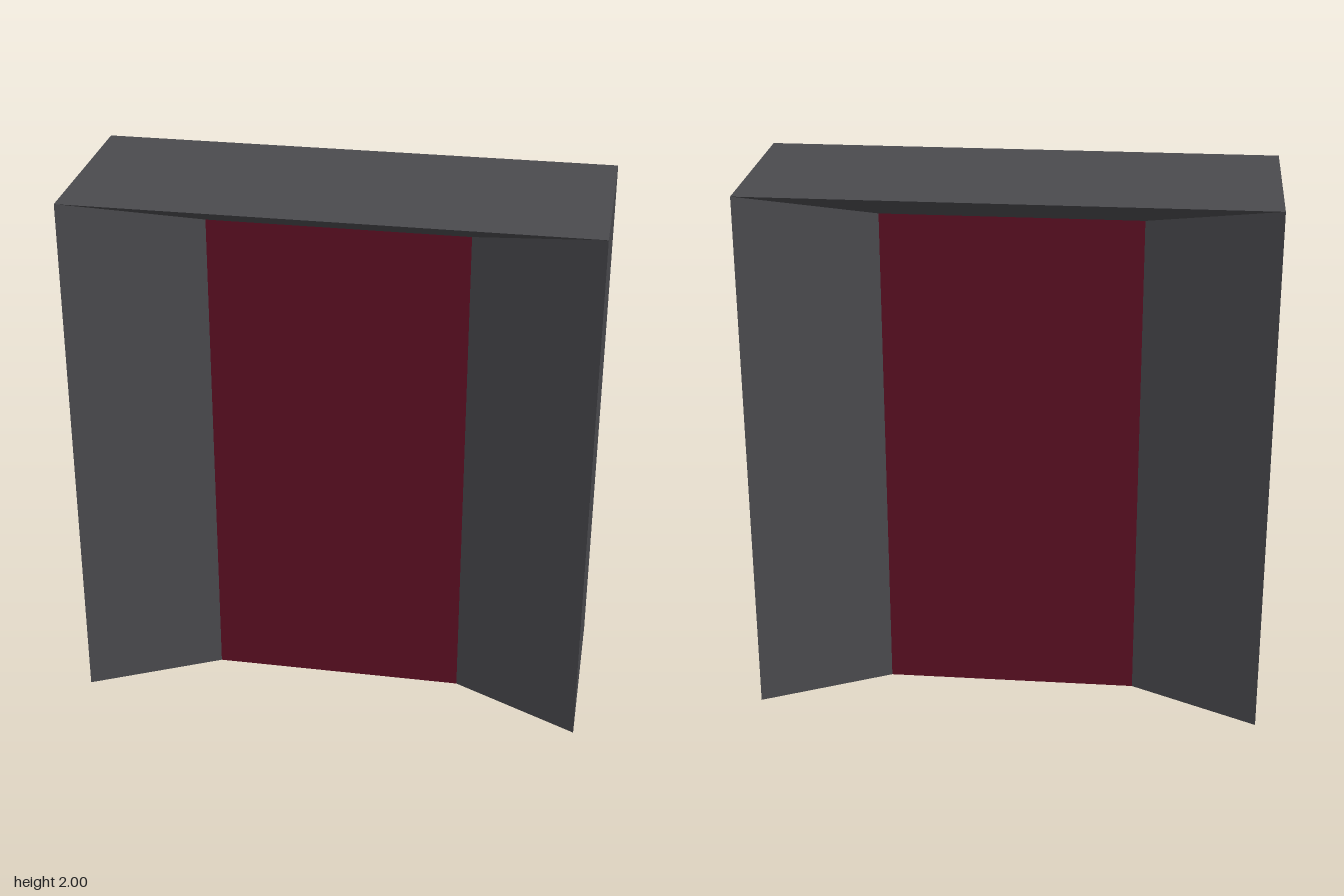
import * as THREE from 'three';

// Proportions in whole units; the model is 17 units tall
const U = 2 / 17;
const OUTER_X = 8 * U, INNER_X = 4 * U;
const OUTER_Z = 3 * U, INNER_Z = 1 * U;
const TOP = 17 * U, PANEL_TOP = 16 * U;

// Box between two corners whose vertices are then moved by a rule
function shapedBox(min, max, rule) {
  const geo = new THREE.BoxGeometry(max[0] - min[0], max[1] - min[1], max[2] - min[2]);
  geo.translate((min[0] + max[0]) / 2, (min[1] + max[1]) / 2, (min[2] + max[2]) / 2);
  const pos = geo.attributes.position;
  const v = new THREE.Vector3();
  for (let i = 0; rule && i < pos.count; i++) {
    rule(v.fromBufferAttribute(pos, i));
    pos.setXYZ(i, v.x, v.y, v.z);
  }
  geo.computeVertexNormals();
  return geo;
}

export function createModel() {
  const group = new THREE.Group();
  group.name = 'doorway';
  const stone = new THREE.MeshStandardMaterial({ color: 0x4a4a4e });
  stone.name = 'dark grey stone';
  const red = new THREE.MeshStandardMaterial({ color: 0x5c0f23 });
  red.name = 'deep red';

  const add = (name, geo, mat) => {
    const mesh = new THREE.Mesh(geo, mat);
    mesh.name = name;
    group.add(mesh);
  };

  // Thin centre panel, recessed on both faces
  add('doorPanel', shapedBox([-INNER_X, 0, -INNER_Z], [INNER_X, PANEL_TOP, INNER_Z]), red);

  // Splayed jambs: narrow and lower towards the panel
  for (const [name, side] of [['leftJamb', 1], ['rightJamb', -1]]) {
    const xs = [side * INNER_X, side * OUTER_X].sort((a, b) => a - b);
    const geo = shapedBox([xs[0], 0, -OUTER_Z], [xs[1], TOP, OUTER_Z], (v) => {
      if (Math.abs(v.x) > (INNER_X + OUTER_X) / 2) return;
      v.z = Math.sign(v.z) * INNER_Z;
      v.y = Math.min(v.y, PANEL_TOP);
    });
    add(name, geo, stone);
  }

  // Lintel: an upturned frustum whose underside slopes in to the panel
  const lintel = shapedBox([-OUTER_X, PANEL_TOP, -OUTER_Z], [OUTER_X, TOP, OUTER_Z], (v) => {
    if (v.y > (PANEL_TOP + TOP) / 2) return;
    v.x = Math.sign(v.x) * INNER_X;
    v.z = Math.sign(v.z) * INNER_Z;
  });
  add('lintel', lintel, stone);

  return group;
}
